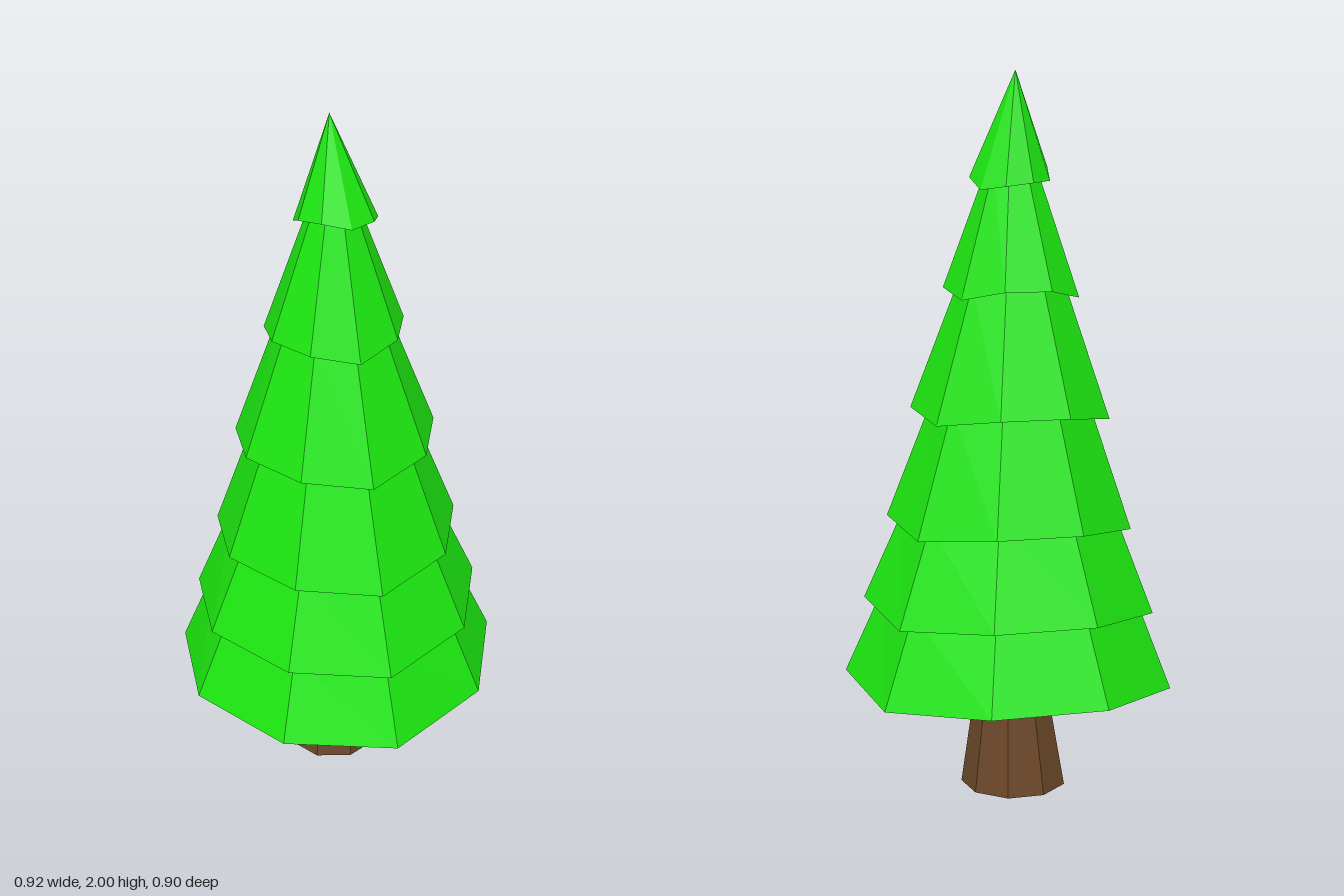
import * as THREE from 'three';

const SIDES = 9;

// One nine-sided ring; every third corner droops, and the ring can lean.
function ring(r, y, { cx = 0, cz = 0, droop = 0, tilt = 0 } = {}) {
  return Array.from({ length: SIDES }, (_, k) => {
    const a = (k * 2 * Math.PI) / SIDES;
    const x = r * Math.sin(a), z = -r * Math.cos(a);
    return [cx + x, y + tilt * (z - x) - (k % 3 === 2 ? droop : 0), cz + z];
  });
}

// Skins rings listed from the underside upward with flat facets.
function loft(name, color, rings) {
  const pos = [];
  for (let i = 0; i < rings.length - 1; i++) {
    const a = rings[i], b = rings[i + 1];
    for (let k = 0; k < SIDES; k++) {
      const n = (k + 1) % SIDES;
      pos.push(...a[k], ...b[k], ...b[n], ...a[k], ...b[n], ...a[n]);
    }
  }
  const geo = new THREE.BufferGeometry();
  geo.setAttribute('position', new THREE.Float32BufferAttribute(pos, 3));
  geo.computeVertexNormals();
  const mesh = new THREE.Mesh(geo, new THREE.MeshStandardMaterial({ color, flatShading: true }));
  mesh.name = name;
  return mesh;
}

export function createModel() {
  const tree = new THREE.Group();
  tree.name = 'pineTree';

  // Trunk: flared foot, narrow waist, widening into the foliage
  tree.add(loft('trunk', 0x6b4729, [
    ring(0, 0, { cx: -0.005 }),
    ring(0.15, 0, { cx: -0.005 }),
    ring(0.112, 0.235),
    ring(0.14, 0.44),
  ]));

  // Foliage tiers: rim radius, rim height, rim centre z, radius where the next tier covers it
  const tiers = [
    [0.465, 0.337, 0.013, 0.362],
    [0.411, 0.55, 0.011, 0.3],
    [0.345, 0.785, 0.009, 0.222],
    [0.279, 1.09, 0.004, 0.148],
    [0.189, 1.42, 0, 0.07],
    [0.111, 1.725, 0, 0],
  ];
  // Hollow underside first
  const rings = [ring(0, 0.43), ring(0.37, 0.43, { cz: 0.01 })];
  tiers.forEach(([r, y, cz, topR], i) => {
    const last = i === tiers.length - 1;
    rings.push(ring(r, y, { cz, cx: last ? 0.006 : 0, droop: last ? 0.015 : 0.025, tilt: last ? 0.2 : 0 }));
    rings.push(last
      ? ring(0, 2, { cx: 0.004, cz: -0.022 })
      : ring(topR, tiers[i + 1][1] + 0.015, { cz: tiers[i + 1][2] }));
  });
  tree.add(loft('foliage', 0x1ce610, rings));

  return tree;
}
